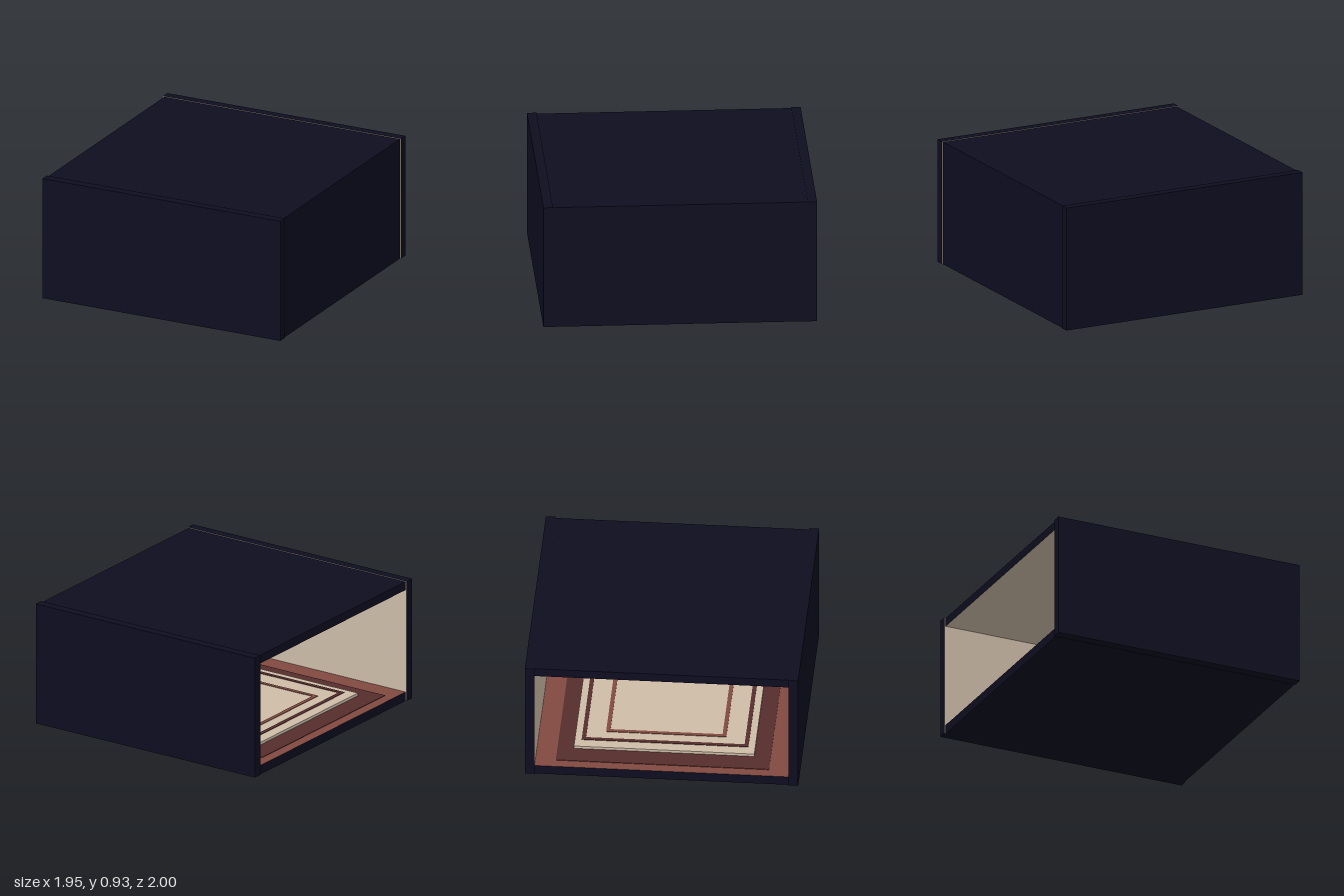
import * as THREE from 'three';

const mat = (name, color) => {
  const m = new THREE.MeshStandardMaterial({ color });
  m.name = name;
  return m;
};

export function createModel() {
  const navy = mat('navy shell', 0x0d0d20);
  const cream = mat('cream', 0xcdbca7);
  const terracotta = mat('terracotta', 0x80493f);
  const maroon = mat('maroon', 0x562c2c);
  const group = new THREE.Group();

  // Box given by its limits; inner = [face index, material] for the face seen inside
  // (face order: +x, -x, +y, -y, +z, -z)
  function box(name, [x0, x1], [y0, y1], [z0, z1], material, inner) {
    const geo = new THREE.BoxGeometry(x1 - x0, y1 - y0, z1 - z0);
    let mats = material;
    if (inner) {
      mats = Array(6).fill(material);
      mats[inner[0]] = inner[1];
    }
    const mesh = new THREE.Mesh(geo, mats);
    mesh.name = name;
    mesh.position.set((x0 + x1) / 2, (y0 + y1) / 2, (z0 + z1) / 2);
    group.add(mesh);
  }

  // Thin rectangular line lying flat on the floor
  function frame(name, [x0, x1], z, w, y, material) {
    const rect = (path, a, b, c) =>
      path.moveTo(a, -c).lineTo(b, -c).lineTo(b, c).lineTo(a, c).closePath();
    const shape = new THREE.Shape();
    rect(shape, x0, x1, z);
    const hole = new THREE.Path();
    rect(hole, x0 + w, x1 - w, z - w);
    shape.holes.push(hole);
    const geo = new THREE.ExtrudeGeometry(shape, { depth: 0.004, bevelEnabled: false });
    geo.rotateX(-Math.PI / 2);
    const mesh = new THREE.Mesh(geo, material);
    mesh.name = name;
    mesh.position.y = y;
    group.add(mesh);
  }

  // Shell: front and back stand slightly proud, the -x side is open
  const X = [-0.965, 0.905];
  box('frontWall', [-0.975, 0.975], [0.003, 0.934], [0.93, 1], navy, [5, cream]);
  box('backWall', [-0.975, 0.975], [0.003, 0.934], [-1, -0.93], navy, [4, cream]);
  box('sideWall', [0.905, 0.965], [0, 0.93], [-0.93, 0.93], navy, [1, cream]);
  box('ceiling', X, [0.865, 0.93], [-0.93, 0.93], navy, [3, cream]);
  box('floor', X, [0, 0.07], [-0.93, 0.93], navy, [2, terracotta]);

  // Layered rug
  box('carpet', [-0.886, 0.826], [0.07, 0.074], [-0.78, 0.78], maroon);
  box('rug', [-0.73, 0.67], [0.074, 0.095], [-0.66, 0.66], cream);
  frame('outerRugLine', [-0.645, 0.585], 0.61, 0.03, 0.095, maroon);
  frame('innerRugLine', [-0.53, 0.47], 0.44, 0.03, 0.095, terracotta);

  return group;
}
